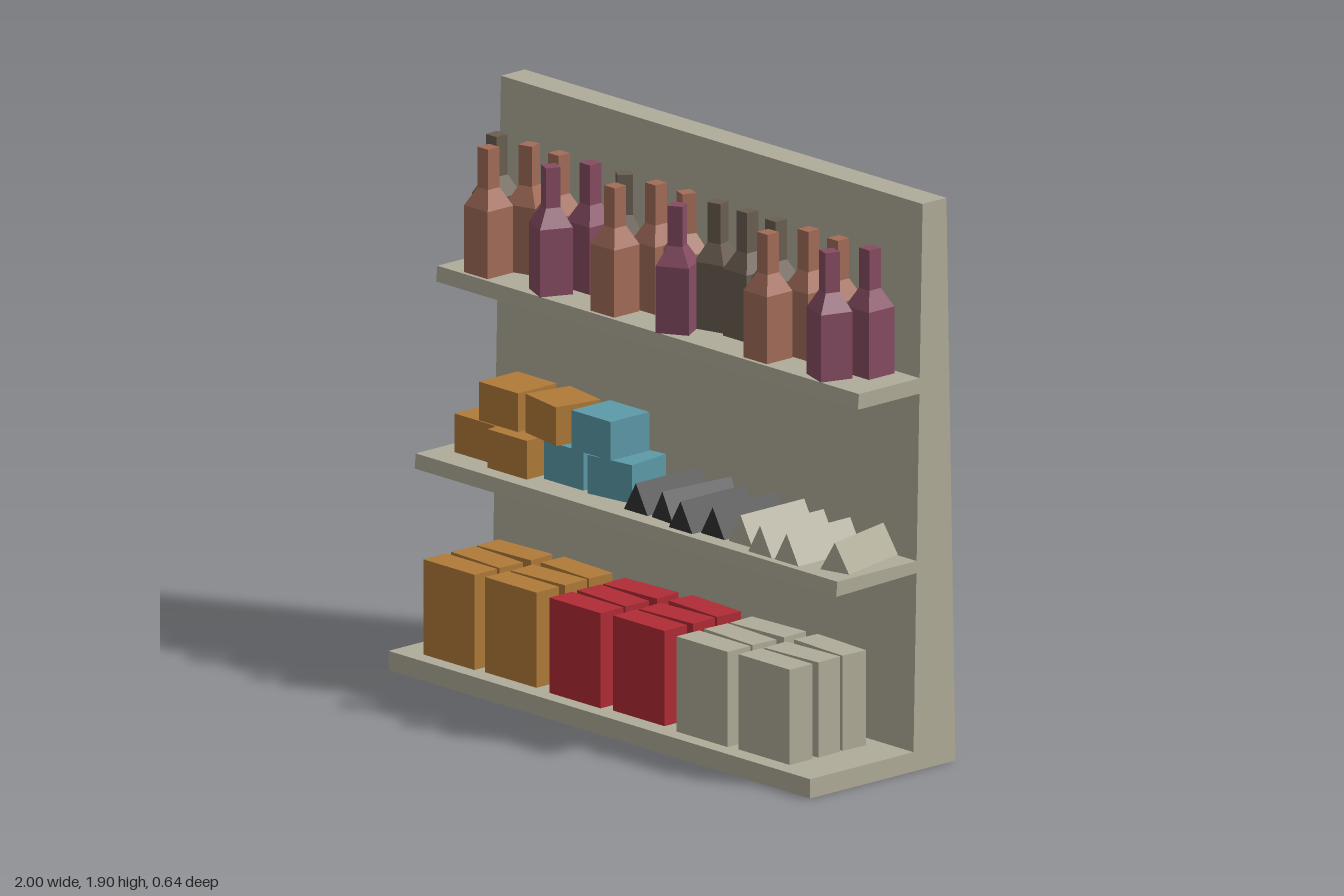
import * as THREE from 'three';

const paint = (name, color) => {
  const m = new THREE.MeshStandardMaterial({ color });
  m.name = name;
  return m;
};

export function createModel() {
  const model = new THREE.Group();
  model.name = 'stockedShelves';
  const stone = paint('warm grey', 0xb0ac99);
  const orange = paint('orange', 0xb07a38);
  const red = paint('red', 0xb02c35);
  const blue = paint('teal blue', 0x5c9aa8);
  const black = paint('charcoal', 0x303030);
  const rust = paint('rust glass', 0xa26c58);
  const plum = paint('plum glass', 0x864c62);
  const smoke = paint('smoky glass', 0x6a5e52);

  const add = (name, geometry, material, x = 0, y = 0, z = 0, degrees = 0) => {
    const mesh = new THREE.Mesh(geometry, material);
    mesh.name = name;
    mesh.position.set(x, y, z);
    mesh.rotation.y = THREE.MathUtils.degToRad(degrees);
    model.add(mesh);
  };

  // Rack parts: side profiles of [z, y] points run across the full width
  const acrossWidth = (points) => {
    const shape = new THREE.Shape(points.map(([z, y]) => new THREE.Vector2(z, y)));
    return new THREE.ExtrudeGeometry(shape, { depth: 2, bevelEnabled: false })
      .rotateY(-Math.PI / 2).translate(1, 0, 0);
  };
  add('backAndBase', acrossWidth([
    [-0.32, 0], [0.32, 0], [0.32, 0.065], [-0.135, 0.065], [-0.175, 1.9], [-0.28, 1.9],
  ]), stone);
  add('middleShelf', acrossWidth([[-0.17, 0.665], [0.205, 0.655], [0.2, 0.705], [-0.17, 0.705]]), stone);
  add('topShelf', acrossWidth([[-0.18, 1.265], [0.11, 1.265], [0.105, 1.317], [-0.18, 1.317]]), stone);

  // Square bottles, profile given as [half width, height]
  const profile = [[0, 0], [0.056, 0], [0.056, 0.225], [0.025, 0.287], [0.025, 0.422], [0, 0.422]];
  const bottle = new THREE.LatheGeometry(
    profile.map(([r, y]) => new THREE.Vector2(r * Math.SQRT2, y)), 4)
    .rotateY(Math.PI / 4).toNonIndexed();
  bottle.computeVertexNormals();
  const backBottles = [
    [-0.92, smoke, 0], [-0.765, rust, 16], [-0.625, rust, 0], [-0.475, plum, 0],
    [-0.315, smoke, -35], [-0.165, rust, 0], [-0.02, rust, -20], [0.13, smoke, 15],
    [0.27, smoke, 0], [0.405, smoke, 0], [0.56, rust, 0], [0.7, rust, 0], [0.85, plum, 0],
  ];
  const frontBottles = [
    [-0.83, rust, 0], [-0.535, plum, -24], [-0.23, rust, 0],
    [0.065, plum, 30], [0.495, rust, 0], [0.787, plum, -18],
  ];
  backBottles.forEach(([x, m, turn]) => add('backBottle', bottle, m, x, 1.318, -0.082, turn));
  frontBottles.forEach(([x, m, turn]) => add('frontBottle', bottle, m, x, 1.318, 0.037, turn));

  // Stacked small boxes on the middle shelf
  const smallBox = new THREE.BoxGeometry(0.186, 0.13, 0.17);
  [
    [-0.82, 0.775, 0.025, 0, orange], [-0.617, 0.775, 0.068, 0, orange],
    [-0.708, 0.906, 0.022, 0, orange], [-0.49, 0.906, 0.025, -11, orange],
    [-0.4, 0.775, 0.02, 0, blue], [-0.193, 0.775, 0.02, 7, blue],
    [-0.265, 0.906, 0.025, 0, blue],
  ].forEach(([x, y, z, turn, m]) => add('smallBox', smallBox, m, x, y, z, turn));

  // Triangular packets
  const triangle = new THREE.Shape([[-0.056, 0], [0.056, 0], [0, 0.098]]
    .map(([x, y]) => new THREE.Vector2(x, y)));
  const packet = new THREE.ExtrudeGeometry(triangle, { depth: 0.28, bevelEnabled: false })
    .translate(0, 0, -0.14);
  [
    [-0.01, 0.01, 0, black], [0.13, 0.012, -5, black], [0.24, 0.045, 0, black], [0.36, 0.015, 0, black],
    [0.487, 0.01, 0, stone], [0.617, 0.045, 0, stone], [0.743, 0.045, 0, stone], [0.893, 0.005, 13, stone],
  ].forEach(([x, z, turn, m]) => add('triangularPacket', packet, m, x, 0.71, z, turn));

  // Large cartons on the base, three deep
  const carton = new THREE.BoxGeometry(0.243, 0.32, 0.1);
  const columns = [
    [-0.735, orange, 0.25], [-0.45, orange, 0.242], [-0.137, red, 0.25],
    [0.152, red, 0.237], [0.466, stone, 0.25], [0.752, stone, 0.242],
  ];
  columns.forEach(([x, m, front], i) => {
    const turn = i % 2 ? 3 : -3;
    add('carton', carton, m, x, 0.24, front);
    add('carton', carton, m, x, 0.24, front - 0.118, turn);
    add('carton', carton, m, x, 0.24, front - 0.24, -turn);
  });

  return model;
}
